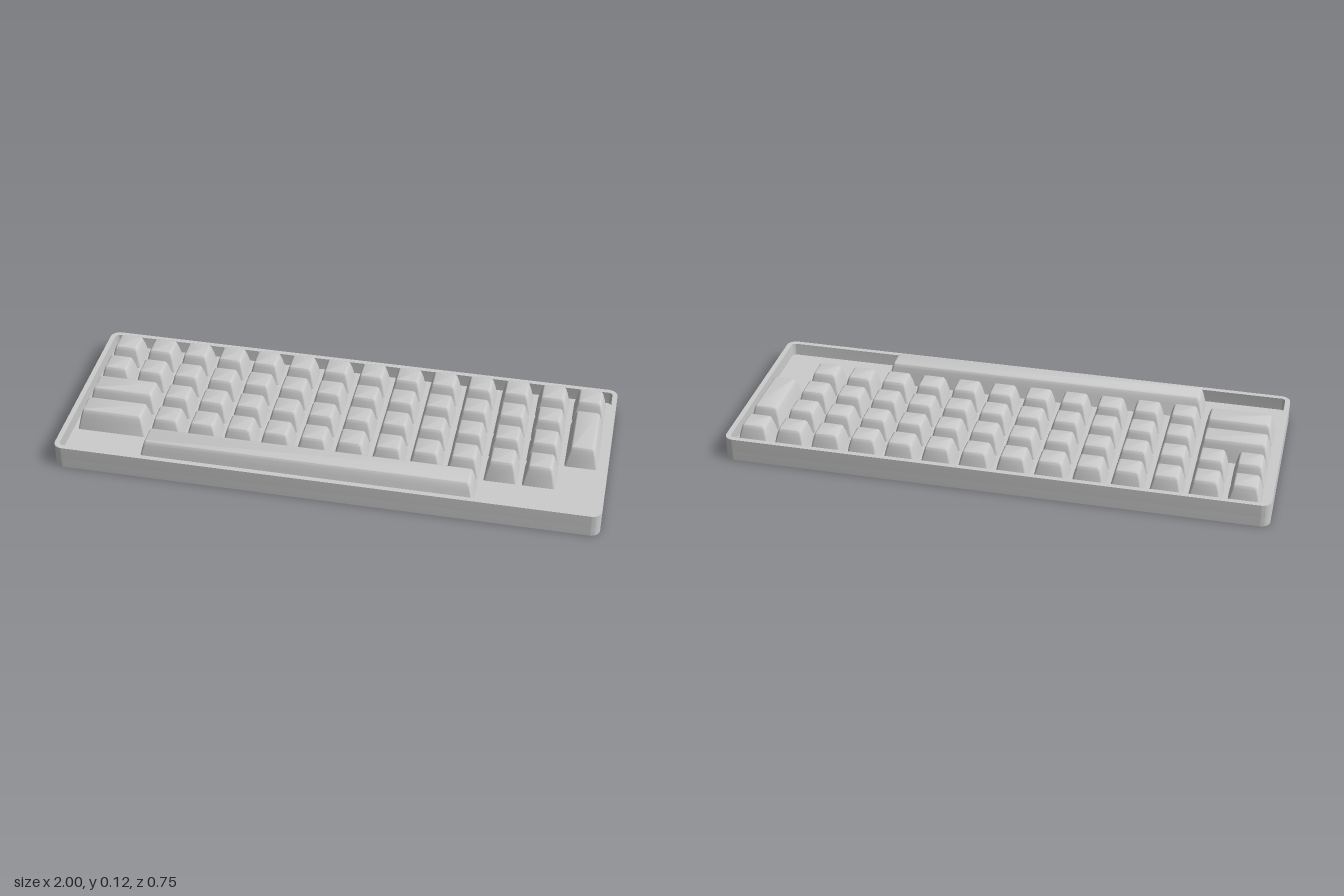
import * as THREE from 'three';
import { toCreasedNormals } from 'three/addons/utils/BufferGeometryUtils.js';

const PITCH = 0.1387, KEY = 0.12;
const CASE_TOP = 0.087, FLOOR = 0.038, KEY_BOTTOM = 0.041;

const material = new THREE.MeshStandardMaterial({ color: 0xcccccc });

// Points of a rounded rectangle, counter-clockwise
function roundedRect(w, d, r, steps) {
  const points = [];
  for (let c = 0; c < 4; c++) {
    const cx = (c === 0 || c === 3 ? 1 : -1) * (w / 2 - r);
    const cy = (c < 2 ? 1 : -1) * (d / 2 - r);
    for (let i = 0; i <= steps; i++) {
      const a = (c + i / steps) * Math.PI / 2;
      points.push(new THREE.Vector2(cx + r * Math.cos(a), cy + r * Math.sin(a)));
    }
  }
  return points;
}

// Upright slab extruded from a shape
function slab(shape, y, height) {
  const g = new THREE.ExtrudeGeometry(shape, { depth: height, bevelEnabled: false });
  g.rotateX(-Math.PI / 2);
  g.translate(0, y, 0);
  return toCreasedNormals(g, 0.6);
}

// Keycap: stacked rounded rectangles, tapering to a softened flat top
function keycapGeometry(w, d) {
  // [height, inset, corner radius]
  const sections = [
    [KEY_BOTTOM, 0, 0.007], [0.087, 0.009, 0.008], [0.108, 0.0145, 0.009],
    [0.1145, 0.0168, 0.009], [0.1188, 0.0195, 0.008], [0.1207, 0.024, 0.006],
  ];
  const positions = [], index = [];
  let n = 0;
  for (const [y, inset, r] of sections) {
    const ring = roundedRect(w - 2 * inset, d - 2 * inset, r, 3);
    n = ring.length;
    for (const p of ring) positions.push(p.x, y, -p.y);
  }
  for (let s = 0; s < sections.length - 1; s++) {
    for (let i = 0; i < n; i++) {
      const a = s * n + i, b = s * n + (i + 1) % n;
      index.push(a, b, b + n, a, b + n, a + n);
    }
  }
  // Top and bottom caps
  const top = (sections.length - 1) * n;
  for (let i = 1; i < n - 1; i++) {
    index.push(top, top + i, top + i + 1);
    index.push(0, i + 1, i);
  }
  const g = new THREE.BufferGeometry();
  g.setAttribute('position', new THREE.Float32BufferAttribute(positions, 3));
  g.setIndex(index);
  return toCreasedNormals(g, 0.6);
}

export function createModel() {
  const model = new THREE.Group();
  model.name = 'keyboard';

  function add(parent, name, geometry) {
    const mesh = new THREE.Mesh(geometry, material);
    mesh.name = name;
    parent.add(mesh);
    return mesh;
  }

  // Case: tray floor and raised rim
  const outer = roundedRect(2, 0.754, 0.035, 8);
  const inner = roundedRect(1.962, 0.716, 0.016, 8);
  const rim = new THREE.Shape(outer);
  rim.holes.push(new THREE.Path(inner));
  add(model, 'caseFloor', slab(new THREE.Shape(outer), 0, FLOOR));
  add(model, 'caseRim', slab(rim, FLOOR, CASE_TOP - FLOOR));

  // Keys, placed by column and row and sized in key units
  const keys = new THREE.Group();
  keys.name = 'keys';
  model.add(keys);
  const cache = {};
  function addKey(name, col, row, wide = 1, deep = 1) {
    const id = wide + 'x' + deep;
    cache[id] ??= keycapGeometry(KEY + (wide - 1) * PITCH, KEY + (deep - 1) * PITCH);
    const key = add(keys, name, cache[id]);
    key.position.set((col + (wide - 1) / 2 - 6.5) * PITCH, 0, (row + (deep - 1) / 2 - 2) * PITCH);
  }

  // [row, first column, last column] of single keys
  for (const [row, first, last] of [[0, 0, 13], [1, 0, 12], [2, 2, 12], [3, 2, 12]]) {
    for (let col = first; col <= last; col++) addKey('key', col, row);
  }
  addKey('wideKeyUpper', 0, 2, 2);
  addKey('wideKeyLower', 0, 3, 2);
  addKey('tallKey', 13, 1, 1, 2);
  addKey('spaceBar', 2, 4, 9);

  return model;
}
